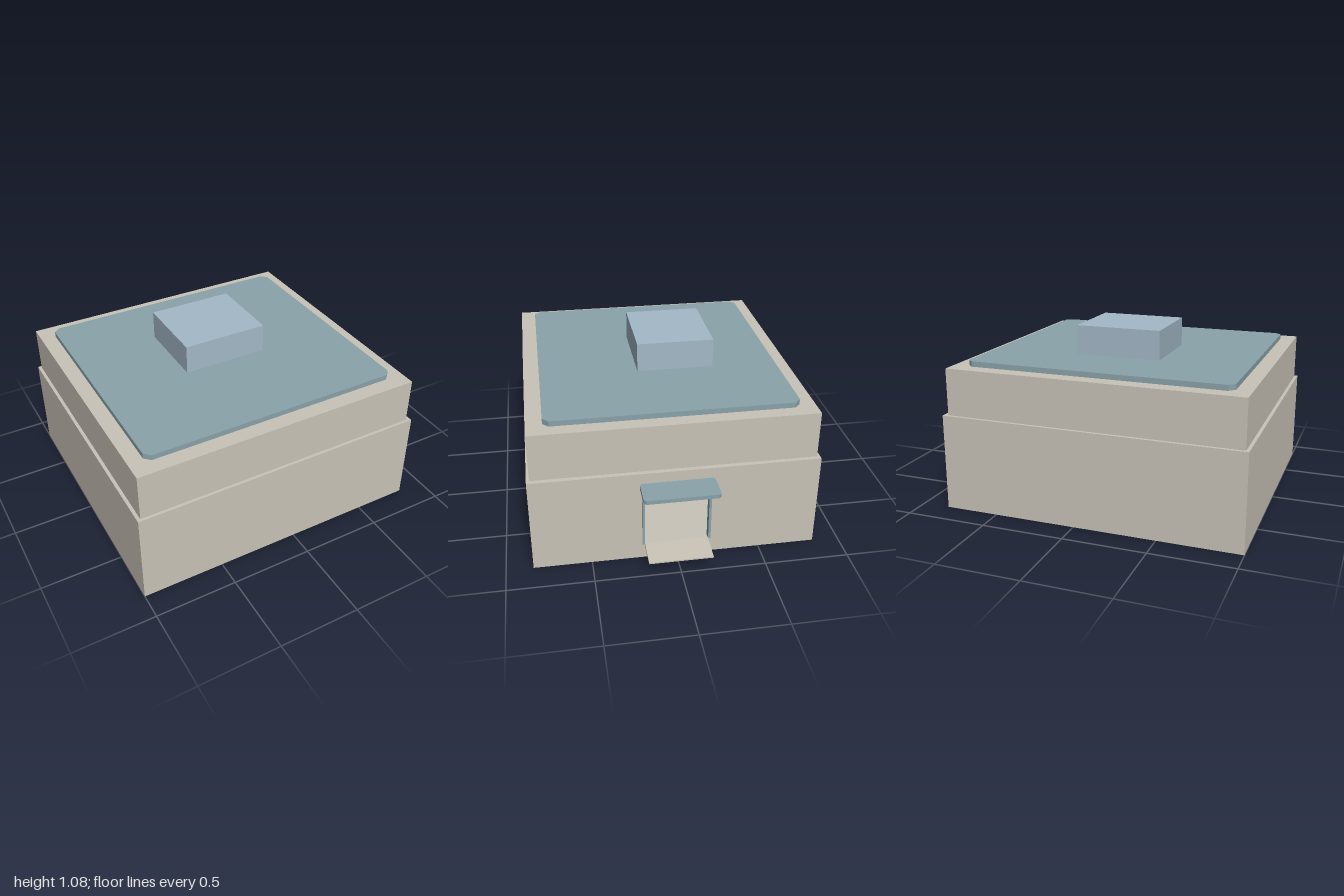
import * as THREE from 'three';

const mat = (name, color) => {
  const m = new THREE.MeshStandardMaterial({ color });
  m.name = name;
  return m;
};

export function createModel() {
  const model = new THREE.Group();
  model.name = 'building';
  const stone = mat('warm stone', 0xc9c3b7);
  const teal = mat('muted teal', 0x8aa3aa);
  const paleBlue = mat('pale blue', 0xa3b9c8);

  const add = (name, geometry, material) => {
    const mesh = new THREE.Mesh(geometry, material);
    mesh.name = name;
    model.add(mesh);
    return mesh;
  };

  // Box given by its limits on each axis
  const block = (name, material, [x0, x1], [y0, y1], [z0, z1]) => {
    const g = new THREE.BoxGeometry(x1 - x0, y1 - y0, z1 - z0);
    g.translate((x0 + x1) / 2, (y0 + y1) / 2, (z0 + z1) / 2);
    return add(name, g, material);
  };

  // Plan outline of [x, z] points raised from y0 to y1
  const raised = (name, material, points, y0, y1) => {
    const shape = new THREE.Shape(points.map(([x, z]) => new THREE.Vector2(x, -z)));
    const g = new THREE.ExtrudeGeometry(shape, { depth: y1 - y0, bevelEnabled: false });
    g.rotateX(-Math.PI / 2).translate(0, y0, 0);
    return add(name, g, material);
  };

  // Rectangular plan with cut corners
  const cutCorners = (x0, x1, z0, z1, c) => [
    [x0 + c, z0], [x1 - c, z0], [x1, z0 + c], [x1, z1 - c],
    [x1 - c, z1], [x0 + c, z1], [x0, z1 - c], [x0, z0 + c],
  ];

  // Hollow ground storey: floor, walls with a doorway on +x, ceiling
  const W = 0.83, D = 0.842, t = 0.03, door = 0.203;
  const floorY = 0.1, headY = 0.475, storeyY = 0.585;
  block('groundFloor', stone, [-1, W], [0, floorY], [-D, D]);
  raised('groundWalls', stone, [
    [W, door], [W, D], [-1, D], [-1, -D], [W, -D], [W, -door],
    [W - t, -door], [W - t, -D + t], [-1 + t, -D + t],
    [-1 + t, D - t], [W - t, D - t], [W - t, door],
  ], floorY, headY);
  block('groundCeiling', stone, [-1, W], [headY, storeyY], [-D, D]);

  // Set-back upper storey, roof and rooftop unit
  block('upperStorey', stone, [-0.98, 0.802], [storeyY, 0.87], [-0.824, 0.824]);
  raised('roofPlate', teal, cutCorners(-0.888, 0.716, -0.732, 0.73, 0.035), 0.87, 0.902);
  block('rooftopUnit', paleBlue, [-0.348, 0.176], [0.902, 1.08], [-0.335, 0.134]);

  // Doorway: jambs, lintel, canopy
  for (const side of [-1, 1]) {
    const z = side < 0 ? [-door, -0.188] : [0.188, door];
    block(side < 0 ? 'rearJamb' : 'frontJamb', teal, [W - t, 0.84], [floorY, 0.495], z);
  }
  block('lintel', stone, [W, 0.867], [headY, 0.495], [-0.2, 0.2]);
  raised('canopy', teal, cutCorners(W, 1, -0.219, 0.216, 0.014), 0.496, 0.52);

  // Doorstep with a gently sloping top
  const step = new THREE.Shape([[W, 0.082], [1, 0.082], [1, 0.09], [W, 0.1]]
    .map(([x, y]) => new THREE.Vector2(x, y)));
  const stepGeo = new THREE.ExtrudeGeometry(step, { depth: 0.376, bevelEnabled: false });
  add('doorstep', stepGeo.translate(0, 0, -0.188), stone);

  return model;
}
